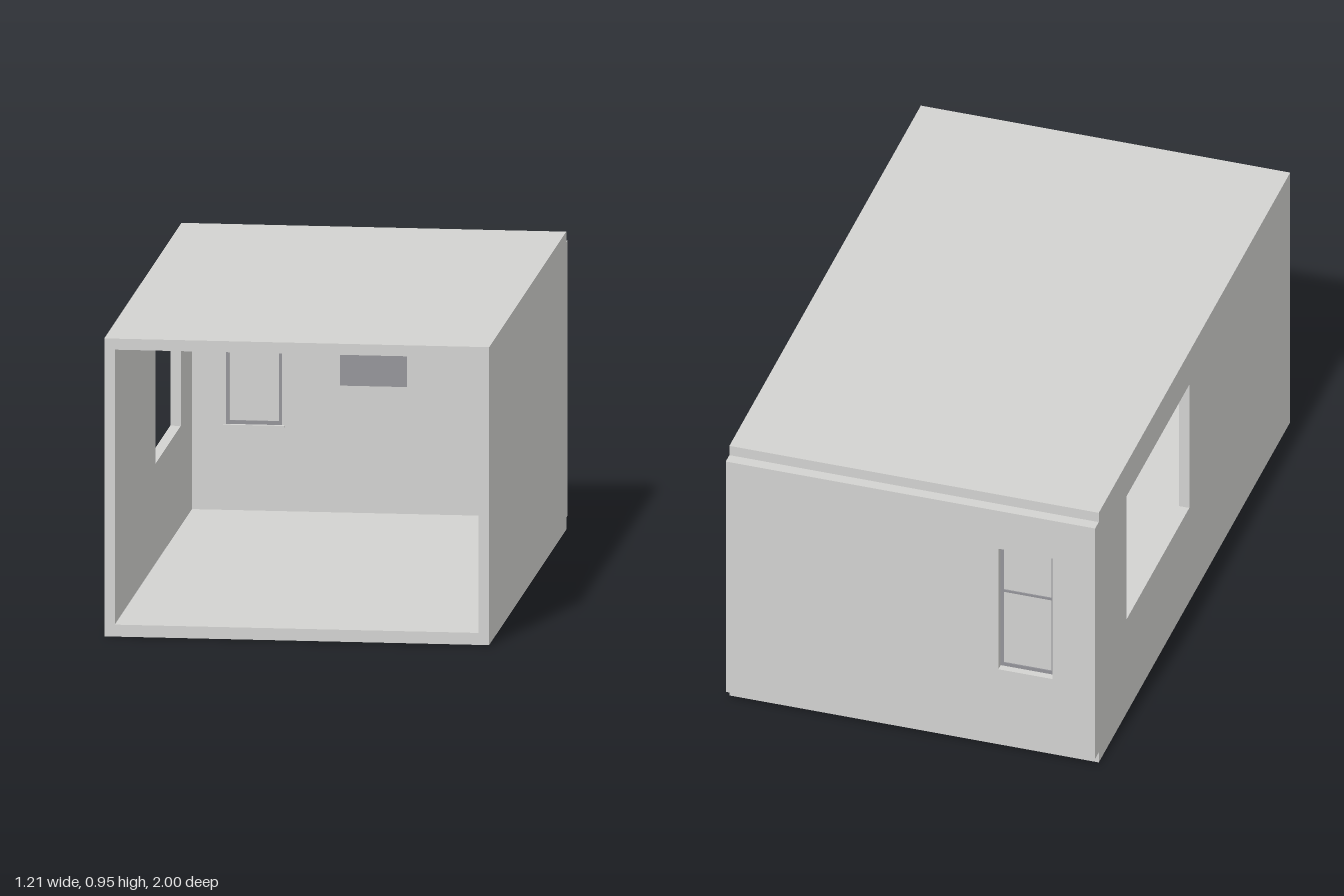
import * as THREE from 'three';

export function createModel() {
  const room = new THREE.Group();
  room.name = 'room';
  const plaster = new THREE.MeshStandardMaterial({ color: 0xd2d2d0 });
  plaster.name = 'plaster grey';
  const dark = new THREE.MeshStandardMaterial({ color: 0x949499 });
  dark.name = 'mid grey';

  const add = (name, geometry, material, parent = room) => {
    const mesh = new THREE.Mesh(geometry, material);
    mesh.name = name;
    parent.add(mesh);
    return mesh;
  };
  // Box given by its low and high limits on each axis
  const box = (name, x0, x1, y0, y1, z0, z1, material, parent) =>
    add(name, new THREE.BoxGeometry(x1 - x0, y1 - y0, z1 - z0), material, parent)
      .position.set((x0 + x1) / 2, (y0 + y1) / 2, (z0 + z1) / 2);

  const rectangle = (Type, x0, x1, y0, y1) => new Type([
    new THREE.Vector2(x0, y0), new THREE.Vector2(x1, y0),
    new THREE.Vector2(x1, y1), new THREE.Vector2(x0, y1),
  ]);
  // Flat panel with rectangular openings, extruded along z
  const panel = (outer, openings, depth) => {
    const shape = rectangle(THREE.Shape, ...outer);
    for (const o of openings) shape.holes.push(rectangle(THREE.Path, ...o));
    return new THREE.ExtrudeGeometry(shape, { depth, bevelEnabled: false });
  };

  const W = 0.605, T = 0.033, H = 0.946, LOW = 0.038, HIGH = 0.911;
  const BACK = -0.963;

  // Shell, open at the front
  box('floor', -W, W, 0, LOW, BACK, 1, plaster);
  box('ceiling', -W, W, HIGH, H, BACK, 1, plaster);
  box('leftWall', W - T, W, LOW, HIGH, BACK, 1, plaster);

  // Right wall with a wide opening; shape x runs along z
  const rightWall = add('rightWall',
    panel([-1, -BACK, LOW, HIGH], [[0.035, 0.68, 0.355, 0.822]], T), plaster);
  rightWall.rotation.y = Math.PI / 2;
  rightWall.position.x = -W;

  // Back wall set behind the shell, with a window opening
  const opening = [-0.465, -0.288, 0.311, 0.768];
  add('backWall', panel([-W, W, LOW, HIGH], [opening], 1 + BACK), plaster)
    .position.z = -1;

  // Sash window near the inner face of the back wall
  const sashWindow = new THREE.Group();
  sashWindow.name = 'window';
  room.add(sashWindow);
  const panes = [[-0.455, -0.298, 0.323, 0.591], [-0.455, -0.298, 0.599, 0.758]];
  add('windowFrame', panel(opening, panes, 0.012), dark, sashWindow).position.z = -0.976;
  for (const p of panes) box('windowPane', ...p, -0.972, -0.968, plaster, sashWindow);
  box('windowSill', -0.474, -0.28, 0.304, 0.311, BACK, -0.95, plaster, sashWindow);

  // Grey panel hung on the inside of the back wall
  box('wallPanel', -0.106, 0.105, 0.442, 0.73, BACK, -0.957, dark);

  return room;
}
